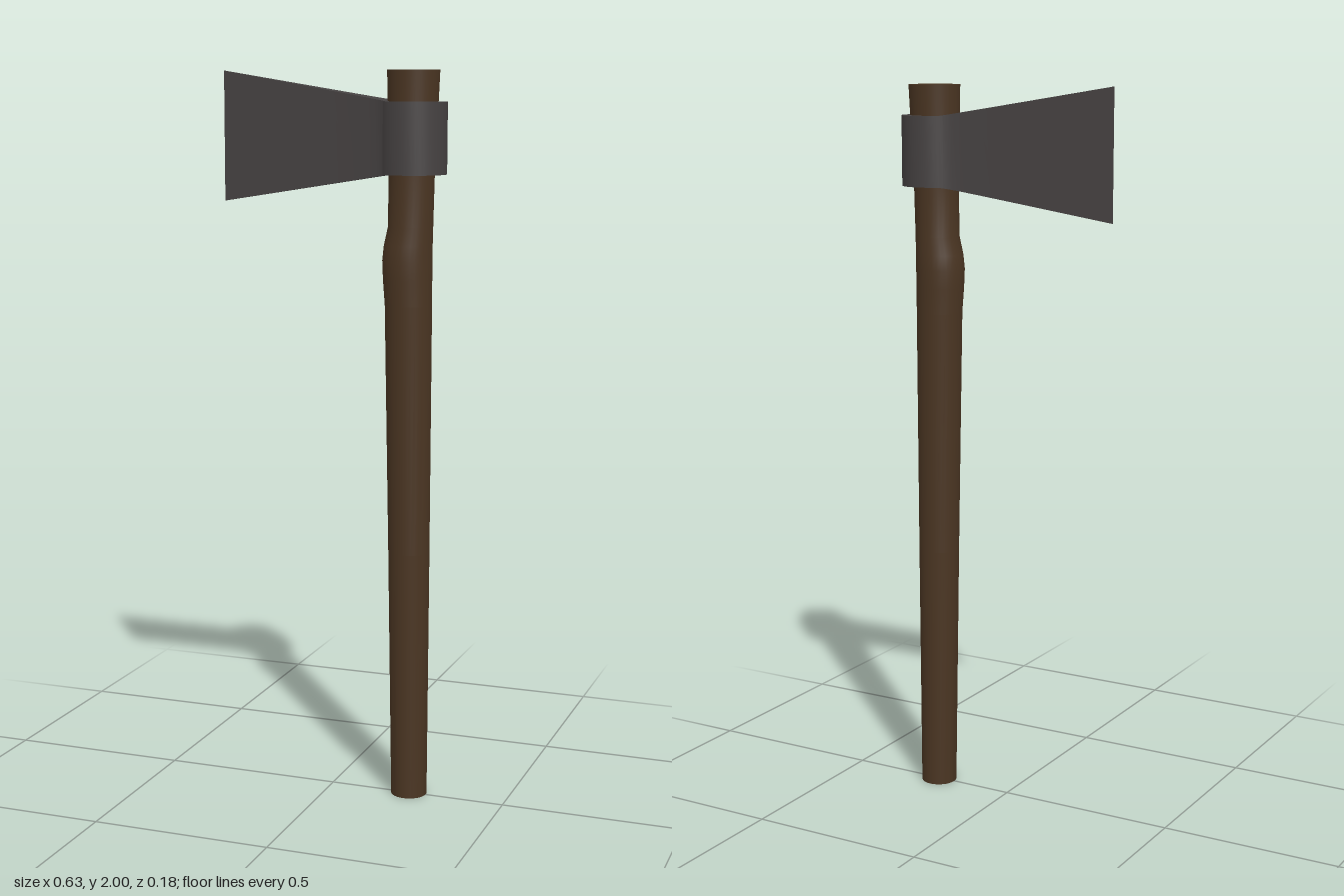
import * as THREE from 'three';
import { toCreasedNormals } from 'three/addons/utils/BufferGeometryUtils.js';

const wood = new THREE.MeshStandardMaterial({ color: 0x4a3522 });
wood.name = 'dark wood';
const iron = new THREE.MeshStandardMaterial({ color: 0x464242 });
iron.name = 'dark iron';

// Handle outline from bottom to top: y, min x, max x, min z, max z
const SECTIONS = [
  [0.00, 0.177, 0.277, -0.052, 0.048],
  [0.70, 0.165, 0.279, -0.056, 0.055],
  [1.38, 0.152, 0.280, -0.060, 0.063],
  [1.45, 0.147, 0.280, -0.062, 0.067],
  [1.50, 0.145, 0.280, -0.064, 0.069],
  [1.54, 0.149, 0.280, -0.063, 0.067],
  [1.59, 0.160, 0.281, -0.059, 0.062],
  [1.73, 0.161, 0.284, -0.060, 0.062],
  [2.00, 0.155, 0.295, -0.072, 0.069],
];

const EYE = { x: 0.226, r: 0.09, hole: 0.066, bottom: 1.728, top: 1.918 };

function makeHandle() {
  const rows = SECTIONS.length - 1;
  const geo = new THREE.CylinderGeometry(1, 1, 1, 32, rows);
  const p = geo.attributes.position;
  // Fit every ring of the cylinder to its section
  for (let i = 0; i < p.count; i++) {
    const [y, x0, x1, z0, z1] = SECTIONS[Math.round((p.getY(i) + 0.5) * rows)];
    p.setXYZ(i, (x0 + x1) / 2 + p.getX(i) * (x1 - x0) / 2, y,
      (z0 + z1) / 2 + p.getZ(i) * (z1 - z0) / 2);
  }
  const mesh = new THREE.Mesh(toCreasedNormals(geo, 0.7), wood);
  mesh.name = 'handle';
  return mesh;
}

// Extrudes a plan drawn in x and z upwards from y = 0
function extrudeUp(shape, height) {
  const geo = new THREE.ExtrudeGeometry(shape, { depth: height, bevelEnabled: false, curveSegments: 24 });
  return geo.rotateX(-Math.PI / 2);
}

function makeEye() {
  const ring = new THREE.Shape().absarc(EYE.x, 0, EYE.r, 0, Math.PI * 2, false);
  ring.holes.push(new THREE.Path().absarc(EYE.x, 0, EYE.hole, 0, Math.PI * 2, true));
  const geo = extrudeUp(ring, EYE.top - EYE.bottom).translate(0, EYE.bottom, 0);
  const mesh = new THREE.Mesh(toCreasedNormals(geo, 0.6), iron);
  mesh.name = 'eye';
  return mesh;
}

function makeBlade() {
  // Half thickness along the blade, from cutting edge to eye
  const cheek = [[-0.317, 0.001], [-0.15, 0.018], [0, 0.034], [0.07, 0.042],
    [0.115, 0.049], [0.14, 0.054], [0.157, 0.06], [0.175, 0.071]];
  const plan = [...cheek, ...cheek.slice().reverse().map(([x, z]) => [x, -z])];
  const shape = new THREE.Shape(plan.map(([x, z]) => new THREE.Vector2(x, z)));
  const geo = extrudeUp(shape, 1);
  const p = geo.attributes.position;
  // Flare the blade towards the cutting edge
  for (let i = 0; i < p.count; i++) {
    const t = (p.getX(i) + 0.317) / (0.175 + 0.317);
    const low = THREE.MathUtils.lerp(1.648, EYE.bottom, t);
    const high = THREE.MathUtils.lerp(2.0, EYE.top, t);
    p.setY(i, THREE.MathUtils.lerp(low, high, p.getY(i)));
  }
  const mesh = new THREE.Mesh(toCreasedNormals(geo, 0.6), iron);
  mesh.name = 'blade';
  return mesh;
}

export function createModel() {
  const group = new THREE.Group();
  group.name = 'axe';
  const head = new THREE.Group();
  head.name = 'head';
  head.add(makeEye(), makeBlade());
  group.add(makeHandle(), head);
  return group;
}
